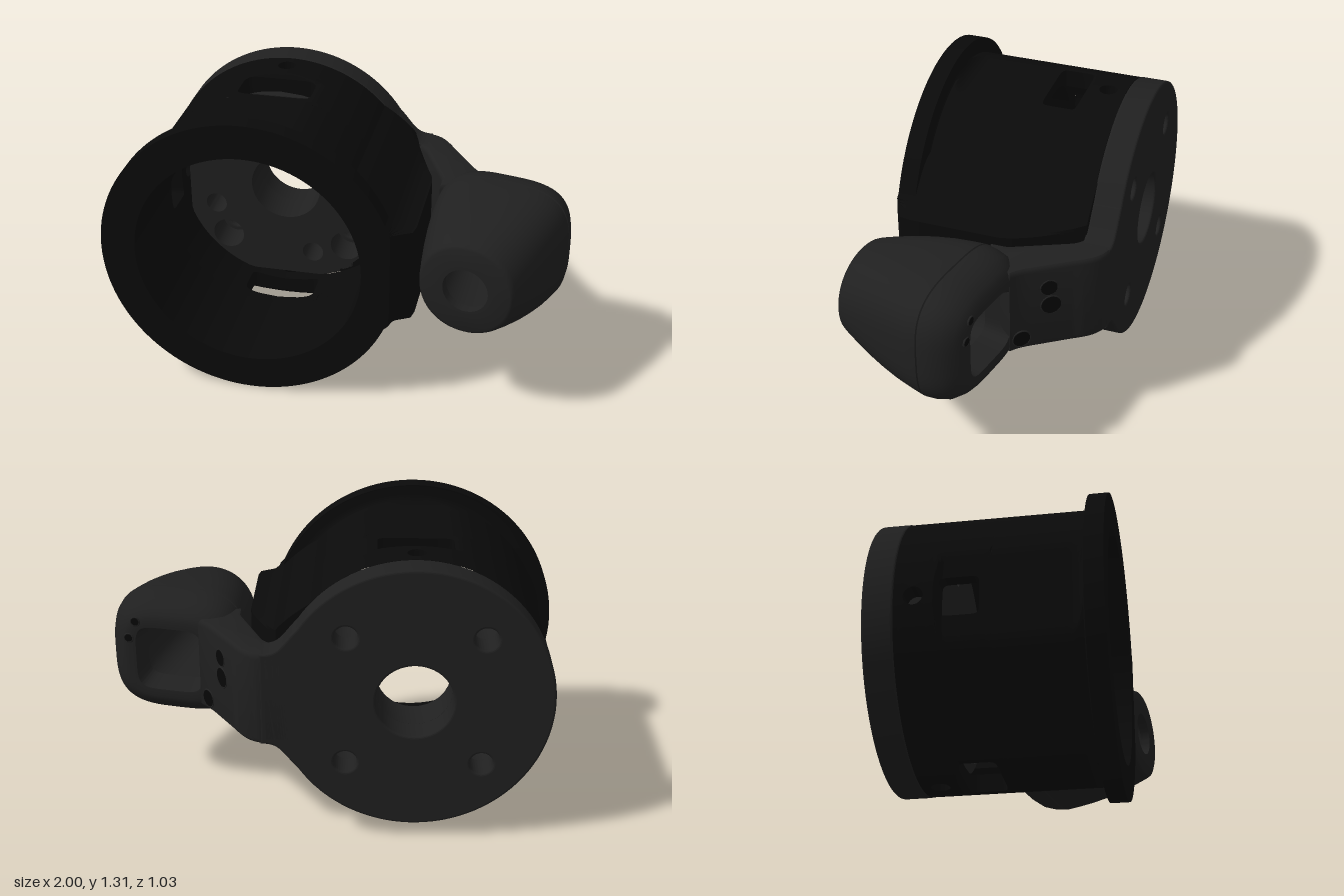
import * as THREE from 'three';
import { toCreasedNormals } from 'three/addons/utils/BufferGeometryUtils.js';
import { ParametricGeometry } from 'three/addons/geometries/ParametricGeometry.js';

const mat = (color) => new THREE.MeshStandardMaterial({ color, side: THREE.DoubleSide });
const dark = mat(0x0a0a0a), grey = mat(0x202020), black = mat(0x060606);
const { lerp, clamp } = THREE.MathUtils;

function add(parent, name, geometry, material, crease = 0.5) {
  const mesh = new THREE.Mesh(toCreasedNormals(geometry, crease), material);
  mesh.name = name;
  parent.add(mesh);
}

// point on a superellipse; n = 2 is a round one, larger n a squarer one
function squircle(t, a, b, n) {
  const c = Math.cos(t), s = Math.sin(t);
  return [a * Math.sign(c) * Math.abs(c) ** (2 / n), b * Math.sign(s) * Math.abs(s) ** (2 / n)];
}

const circle = (x, y, r) => new THREE.Path().absarc(x, y, r, 0, Math.PI * 2, true);

const BORE = 0.502, OUTER = 0.588, FLAT = 0.555, PLUG_FLAT = 0.468;

// distance of the four outer flats from the axis, with a step behind and a fillet in front
function flatDistance(z) {
  if (z < -0.2) return lerp(FLAT, OUTER, clamp((-0.2 - z) / 0.03, 0, 1));
  if (z < 0.31) return FLAT;
  return 0.62 - Math.sqrt(Math.max(0, 0.065 ** 2 - (z - 0.31) ** 2));
}

// cut the four flats into the round wall, and trim the flange beside the pod
function cutFlats(g) {
  const p = g.attributes.position;
  for (let i = 0; i < p.count; i++) {
    const x = p.getX(i), y = p.getY(i), z = p.getZ(i);
    const d = Math.hypot(x, y) < 0.63 ? flatDistance(z) : 1;
    p.setXY(i, clamp(x, -d, z > 0.45 ? 0.625 : d), clamp(y, -d, d));
  }
  return g;
}

// lathe around the z axis from [radius, z] points
function ring(points, start = 0, length = Math.PI * 2, segments = 120) {
  const g = new THREE.LatheGeometry(points.map(([r, z]) => new THREE.Vector2(r, z)), segments, start, length);
  return cutFlats(g.rotateX(Math.PI / 2));
}

// curved piece of wall around a through hole
const PANEL = 0.4;
function wallPanel(mid, z0, z1, hole) {
  const K = 6, rows = 2 * K + 1;
  return cutFlats(new ParametricGeometry((u, v, out) => {
    const t = u * Math.PI * 2, j = Math.round(v * rows);
    const outside = j <= K, s = outside ? 1 - j / K : (j - K - 1) / K;
    const c = Math.cos(t), sn = Math.sin(t), m = Math.max(Math.abs(c), Math.abs(sn));
    const [hx, hz] = squircle(t, hole.a, hole.b, hole.n);
    const z = lerp(hole.z + hz, (z0 + z1) / 2 + (sn / m) * (z1 - z0) / 2, s);
    const R = outside ? OUTER : BORE;
    const angle = mid + lerp(Math.asin(hx / R), (c / m) * PANEL, s);
    out.set(R * Math.cos(angle), R * Math.sin(angle), z);
  }, 64, rows));
}

function buildHousing(housing) {
  // front tube with filleted flange
  const profile = [[BORE, 0], [OUTER, 0], [OUTER, 0.3]];
  for (let i = 0; i <= 8; i++) {
    const a = (i / 8) * Math.PI / 2;
    profile.push([Math.max(OUTER, 0.62 - 0.065 * Math.cos(a)), 0.31 + 0.065 * Math.sin(a)]);
  }
  profile.push([0.655, 0.375], [0.655, 0.455], [BORE, 0.455], [BORE, 0]);
  add(housing, 'flangedTube', ring(profile), dark);

  // rear tube: wide windows above and below, a narrow one on the far side
  for (const [mid, a] of [[Math.PI / 2, 0.165], [Math.PI, 0.085], [-Math.PI / 2, 0.165]]) {
    add(housing, 'windowPanel', wallPanel(mid, -0.23, 0, { z: -0.13, a, b: 0.08, n: 8 }), dark);
    add(housing, 'screwPanel', wallPanel(mid, -0.39, -0.23, { z: -0.31, a: 0.04, b: 0.04, n: 2 }), dark);
  }
  // plain sectors between the panels, and the closed side by the pod
  const rear = [[BORE, -0.39], [OUTER, -0.39], [OUTER, -0.23], [OUTER, -0.2], [OUTER, 0], [BORE, 0]];
  for (let i = 0; i < 4; i++) {
    add(housing, 'rearWall', ring(rear, i * Math.PI / 2 + PANEL, Math.PI / 2 - 2 * PANEL, 16), dark);
  }
  add(housing, 'podSideWall', ring(rear, Math.PI / 2 - PANEL, 2 * PANEL, 16), dark);

  // side block beside the pod, its outer face trimmed along z
  const s = new THREE.Shape();
  const a = Math.atan2(0.39, 0.44);
  s.moveTo(0.44, 0.39);
  s.bezierCurveTo(0.6, 0.29, 0.6, 0.22, 0.7, 0.213);
  s.lineTo(0.72, 0.213);
  s.lineTo(0.72, -0.213);
  s.lineTo(0.7, -0.213);
  s.bezierCurveTo(0.6, -0.22, 0.6, -0.29, 0.44, -0.39);
  s.absarc(0, 0, 0.53, -a, a, false);
  const block = new THREE.ExtrudeGeometry(s, { depth: 0.85, steps: 17, bevelEnabled: false }).translate(0, 0, -0.395);
  const p = block.attributes.position;
  for (let i = 0; i < p.count; i++) {
    const z = p.getZ(i);
    const limit = Math.min(0.72, lerp(0.585, 0.72, (z + 0.4) / 0.33), lerp(0.72, 0.63, (z - 0.4) / 0.05));
    p.setX(i, Math.min(p.getX(i), limit));
  }
  add(housing, 'sideBlock', block, dark);
}

function buildCap(housing) {
  const screws = [[1, 1], [-1, 1], [-1, -1], [1, -1]].map(([x, y]) => [x * 0.29, y * 0.29]);

  // back plate with a flared neck towards the arm
  const plate = new THREE.Shape();
  plate.absarc(0, 0, 0.58, 0.58, Math.PI * 2 - 0.58, false);
  plate.bezierCurveTo(0.55, -0.25, 0.56, -0.2, 0.64, -0.2);
  plate.lineTo(0.64, 0.2);
  plate.bezierCurveTo(0.56, 0.2, 0.55, 0.25, 0.58 * Math.cos(0.58), 0.58 * Math.sin(0.58));
  plate.holes = [circle(0, 0, 0.175), ...screws.map(([x, y]) => circle(x, y, 0.06))];
  const plateGeo = new THREE.ExtrudeGeometry(plate, {
    depth: 0.109, bevelThickness: 0.01, bevelSize: 0.01, bevelSegments: 3, curveSegments: 40,
  });
  add(housing, 'backPlate', plateGeo.translate(0, 0, -0.509), grey, 0.2);

  // inner plug with four flats, screw recesses and blind round recesses
  const outline = [];
  for (let i = 0; i < 96; i++) {
    const t = (i / 96) * Math.PI * 2, d = PLUG_FLAT;
    outline.push(new THREE.Vector2(clamp(0.499 * Math.cos(t), -d, d), clamp(0.499 * Math.sin(t), -d, d)));
  }
  const plug = new THREE.Shape(outline);
  plug.holes = [circle(0, 0, 0.165), ...screws.map(([x, y]) => circle(x, y, 0.075))];
  for (let i = 0; i < 4; i++) {
    const t = i * Math.PI / 2 + 0.355;
    plug.holes.push(circle(0.367 * Math.cos(t), 0.367 * Math.sin(t), 0.05));
  }
  const plugGeo = new THREE.ExtrudeGeometry(plug, { depth: 0.168, bevelEnabled: false, curveSegments: 16 });
  add(housing, 'innerPlug', plugGeo.translate(0, 0, -0.401), grey);
}

// bent arm from the cap to the pod, drawn as (x, -z) and extruded upwards
function buildArm(group, cy) {
  const s = new THREE.Shape();
  s.moveTo(0.2, 0.504);
  s.lineTo(0.28, 0.504);
  s.bezierCurveTo(0.35, 0.5, 0.38, 0.45, 0.42, 0.385);
  s.lineTo(0.52, 0.235);
  s.quadraticCurveTo(0.55, 0.19, 0.58, 0.168);
  s.lineTo(0.565, 0.12);
  s.lineTo(0.5, 0.06);
  s.lineTo(0.425, 0.04);
  s.lineTo(0.425, 0.105);
  s.lineTo(0.32, 0.34);
  s.quadraticCurveTo(0.29, 0.415, 0.2, 0.415);
  const g = new THREE.ExtrudeGeometry(s, {
    depth: 0.37, bevelThickness: 0.025, bevelSize: 0.015, bevelSegments: 4, curveSegments: 10,
  });
  g.translate(0, 0, -0.185).rotateX(-Math.PI / 2).translate(0, cy, 0);
  add(group, 'arm', g, grey);
}

// hollow pod: outer skin, front rim, cavity and rear socket as one closed loft
function buildPod(pod) {
  // [along axis, sideways offset, half width, half height, squareness]
  const rows = [
    [-0.165, 0.005, 0.155, 0.15, 5], [-0.168, 0, 0.195, 0.185, 4], [-0.16, -0.005, 0.225, 0.21, 3.6],
    [-0.14, -0.005, 0.255, 0.235, 3.4], [-0.1, -0.003, 0.287, 0.264, 3.3], [-0.05, 0, 0.301, 0.28, 3.2],
    [-0.004, 0, 0.306, 0.286, 3.2], [0, 0, 0.301, 0.281, 3.2], [0.004, 0, 0.306, 0.286, 3.2],
    [0.06, 0, 0.3, 0.283, 3.1], [0.14, 0, 0.287, 0.276, 3], [0.22, 0, 0.271, 0.266, 2.8],
    [0.3, 0, 0.252, 0.251, 2.6], [0.38, 0, 0.23, 0.232, 2.35], [0.44, 0, 0.212, 0.215, 2.15],
    [0.457, 0, 0.205, 0.207, 2.1], [0.463, 0, 0.195, 0.197, 2],
    [0.463, 0, 0.1, 0.1, 2], [0.42, 0, 0.1, 0.1, 2], [0.42, 0, 0.15, 0.15, 2.2],
    [0.1, 0, 0.2, 0.19, 3], [-0.03, 0, 0.19, 0.18, 4], [-0.05, 0.005, 0.14, 0.13, 5],
    [-0.165, 0.005, 0.155, 0.15, 5],
  ];
  const n = rows.length - 1;
  const g = new ParametricGeometry((u, v, out) => {
    const [w, off, a, b, sq] = rows[clamp(Math.round(v * n), 0, n)];
    const [x, y] = squircle(u * Math.PI * 2, a, b, sq);
    out.set(x + off, y, w);
  }, 72, n);
  add(pod, 'podShell', g, grey, 0.7);
}

// small dark screw recess with a raised edge, facing (nx, 0, nz)
function buildRecess(group, x, y, z, nx, nz, r) {
  const recess = new THREE.Group();
  recess.name = 'screwRecess';
  add(recess, 'recessFloor', new THREE.CircleGeometry(r, 24).translate(0, 0, 0.003), black);
  add(recess, 'recessEdge', new THREE.TorusGeometry(r, 0.004, 6, 24), grey, 1.2);
  recess.position.set(x, y, z);
  recess.rotation.y = Math.atan2(nx, nz);
  group.add(recess);
}

export function createModel() {
  const model = new THREE.Group();
  model.name = 'bracketWithPod';
  const cy = 0.655;

  const housing = new THREE.Group();
  housing.name = 'housing';
  housing.position.set(-0.345, cy, 0);
  buildHousing(housing);
  buildCap(housing);
  model.add(housing);

  buildArm(model, cy);

  const pod = new THREE.Group();
  pod.name = 'pod';
  pod.position.set(0.698, cy, 0.02);
  pod.rotation.y = -0.21;
  buildPod(pod);
  for (const [x, y] of [[0.19, 0.09], [0.155, 0.172]]) buildRecess(pod, x, y, -0.167, 0, -1, 0.02);
  model.add(pod);

  buildRecess(model, 0.482, 0.66, -0.317, 0.83, -0.555, 0.045);
  buildRecess(model, 0.487, 0.75, -0.309, 0.83, -0.555, 0.038);
  buildRecess(model, 0.558, 0.505, -0.212, 0.77, -0.64, 0.04);
  return model;
}
